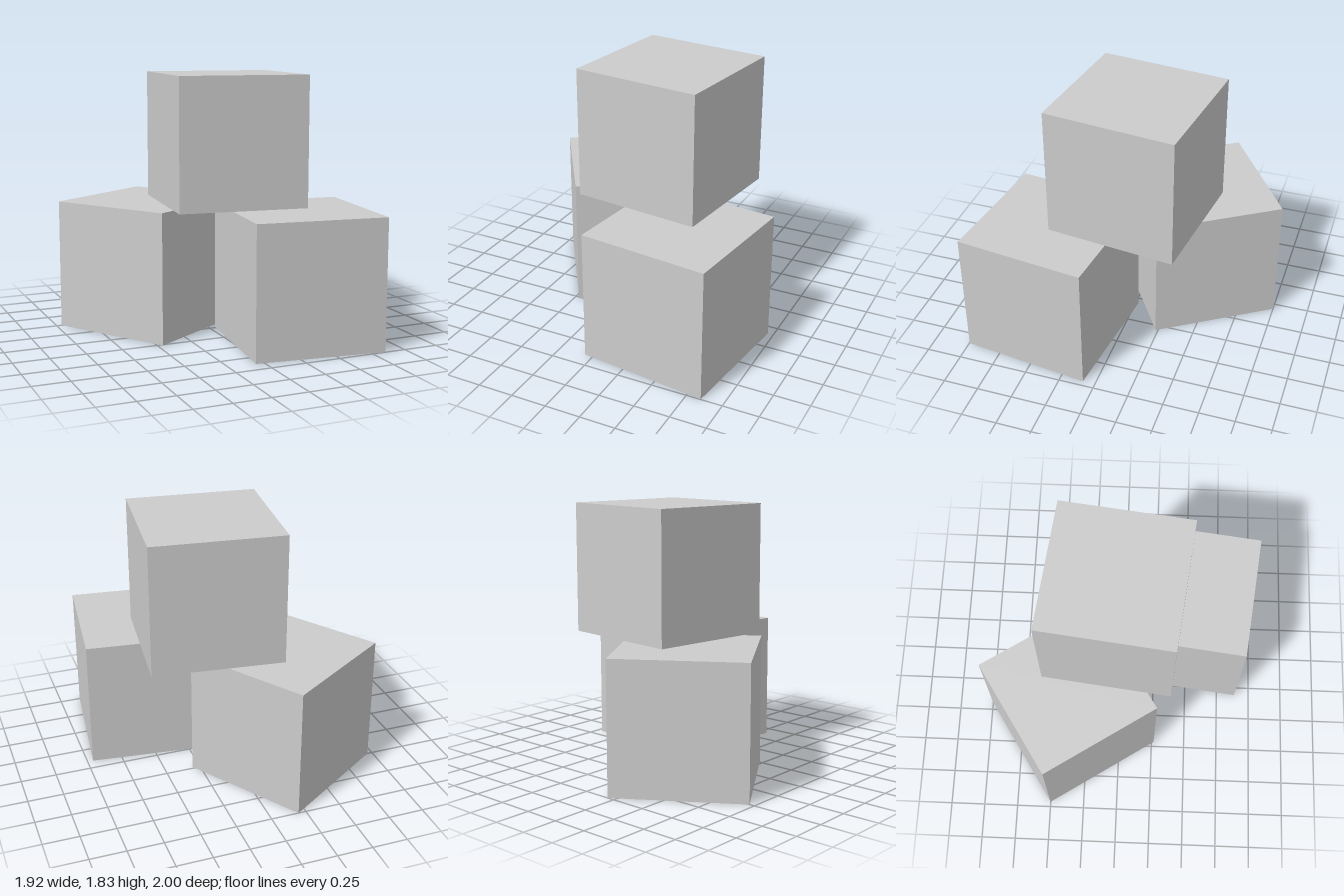
import * as THREE from 'three';

const SIDE = 0.916;

// name, centre x, level, centre z, turn about y
const CUBES = [
  ['lowerFrontCube', 0.45, 0, 0.488, -0.12],
  ['lowerBackCube', -0.33, 0, -0.367, 0.577],
  ['topCube', 0.135, 1, -0.042, -0.12],
];

export function createModel() {
  const group = new THREE.Group();
  group.name = 'stackedCubes';
  const grey = new THREE.MeshStandardMaterial({ color: 0xcccccc });
  grey.name = 'lightGrey';
  const geometry = new THREE.BoxGeometry(SIDE, SIDE, SIDE);

  // Two cubes on the ground carry the third
  for (const [name, x, level, z, turn] of CUBES) {
    const cube = new THREE.Mesh(geometry, grey);
    cube.name = name;
    cube.position.set(x, SIDE * (level + 0.5), z);
    cube.rotation.y = turn;
    group.add(cube);
  }
  return group;
}
